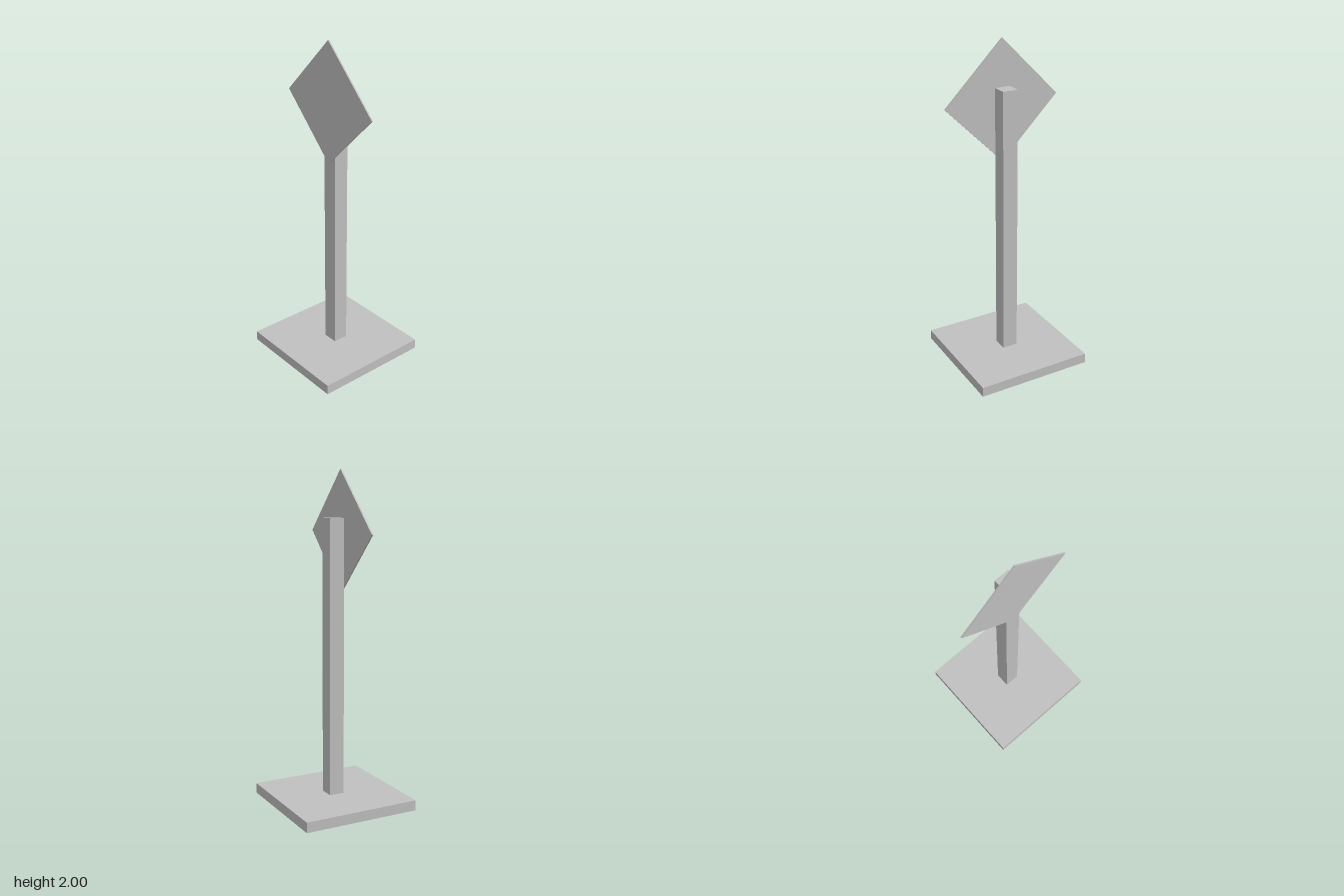
import * as THREE from 'three';

export function createModel() {
  const model = new THREE.Group();
  model.name = 'signPost';

  const grey = new THREE.MeshStandardMaterial({ color: 0xc0c0c0 });
  grey.name = 'plain grey';

  const addBox = (name, size, position) => {
    const mesh = new THREE.Mesh(new THREE.BoxGeometry(...size), grey);
    mesh.name = name;
    mesh.position.set(...position);
    model.add(mesh);
    return mesh;
  };

  // Square foot plate
  addBox('base', [0.722, 0.062, 0.722], [0, 0.031, 0]);

  // Square upright, set slightly back so the panel sits on its front face
  addBox('post', [0.095, 1.66, 0.093], [0, 0.892, -0.0035]);

  // Thin square panel turned on its corner
  const side = 0.361 * Math.SQRT2;
  const panel = addBox('signPanel', [side, side, 0.009], [0, 1.639, 0.0475]);
  panel.rotation.z = Math.PI / 4;

  return model;
}
